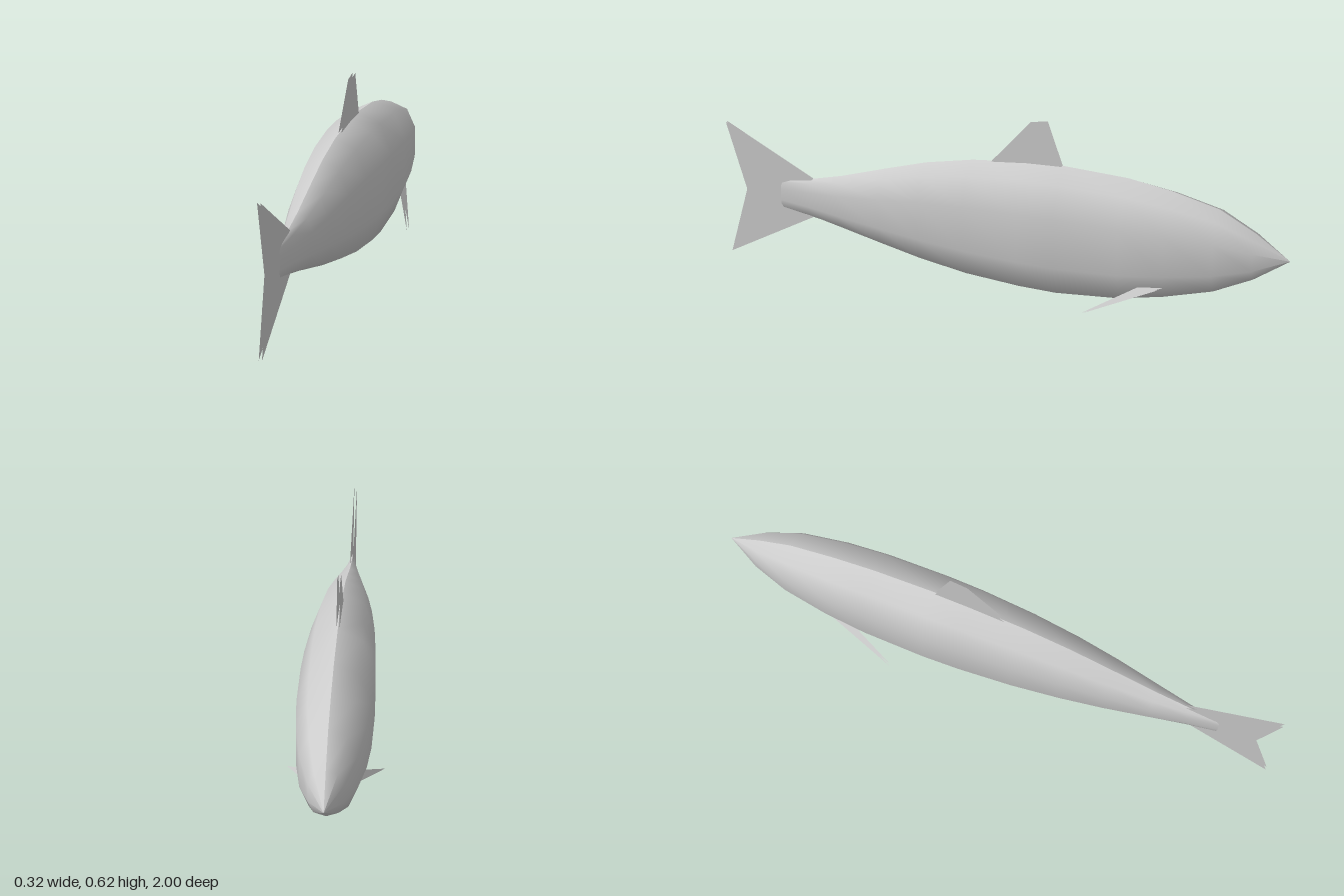
import * as THREE from 'three';

// Body stations from nose to tail: z, top y, bottom y, half width
const STATIONS = [
  [-1, 0.238, 0.238, 0], [-0.885, 0.32, 0.16, 0.055], [-0.76, 0.39, 0.1, 0.09],
  [-0.6, 0.433, 0.057, 0.111], [-0.45, 0.46, 0.027, 0.12], [-0.23, 0.475, 0.013, 0.122],
  [-0.1, 0.473, 0.019, 0.119], [0.09, 0.458, 0.038, 0.108], [0.26, 0.427, 0.07, 0.092],
  [0.41, 0.385, 0.107, 0.073], [0.57, 0.338, 0.146, 0.047], [0.69, 0.311, 0.172, 0.024],
  [0.8, 0.296, 0.188, 0.006], [0.801, 0.242, 0.242, 0],
];

// Unit ten-sided section, starting and ending on the ridge of the back
const HALF = [[0, 1], [0.66, 0.83], [1, 0.37], [1, -0.39], [0.69, -0.84], [0, -1]];
const SECTION = [...HALF, ...HALF.slice(0, -1).reverse().map(([x, y]) => [-x, y])];

function makeGeometry(positions, index) {
  const g = new THREE.BufferGeometry();
  g.setAttribute('position', new THREE.Float32BufferAttribute(positions, 3));
  g.setIndex(index);
  g.computeVertexNormals();
  return g;
}

function bodyGeometry() {
  const positions = [], index = [], n = SECTION.length;
  STATIONS.forEach(([z, top, bottom, w], i) => {
    const mid = (top + bottom) / 2, h = (top - bottom) / 2;
    SECTION.forEach(([u, v], j) => {
      positions.push(u * w, mid + v * h, z);
      if (i === STATIONS.length - 1 || j === n - 1) return;
      const a = i * n + j, b = a + 1, c = a + n, d = c + 1;
      if (i > 0) index.push(a, c, b);
      if (i < STATIONS.length - 2) index.push(b, c, d);
      else index.push(b, c, d);
    });
  });
  return makeGeometry(positions, index);
}

// A fin is two parallel sheets, each a fan from the first outline point
function finGeometry(outline, offset) {
  const positions = [], index = [];
  for (const side of [1, -1]) {
    const base = positions.length / 3;
    for (const p of outline) positions.push(...p.map((c, k) => c + side * offset[k]));
    for (let i = 1; i < outline.length - 1; i++) {
      if (side > 0) index.push(base, base + i, base + i + 1);
      else index.push(base, base + i + 1, base + i);
    }
  }
  return makeGeometry(positions, index);
}

export function createModel() {
  const group = new THREE.Group();
  const skin = new THREE.MeshStandardMaterial({ color: 0xcccccc });
  const sheet = new THREE.MeshStandardMaterial({ color: 0xcccccc, side: THREE.DoubleSide });
  const add = (name, geometry, material) => {
    const mesh = new THREE.Mesh(geometry, material);
    mesh.name = name;
    group.add(mesh);
  };

  add('body', bodyGeometry(), skin);

  // Upright fins lie in the middle plane
  const upright = (points) => finGeometry(points.map(([z, y]) => [0, y, z]), [0.005, 0, 0]);
  add('dorsalFin', upright([[0.03, 0.455], [-0.11, 0.614], [-0.17, 0.624], [-0.23, 0.455]]), sheet);
  add('tailFin', upright([[0.93, 0.245], [1, 0.488], [0.66, 0.302], [0.66, 0.182], [1, 0]]), sheet);

  // Slim pectoral fins, swept back and down
  for (const [name, s] of [['leftPectoralFin', 1], ['rightPectoralFin', -1]]) {
    const outline = [[s * 0.088, 0.122, -0.6], [s * 0.088, 0.122, -0.53], [s * 0.156, 0.025, -0.345]];
    add(name, finGeometry(outline, [s * 0.004, 0.003, 0]), sheet);
  }
  return group;
}
